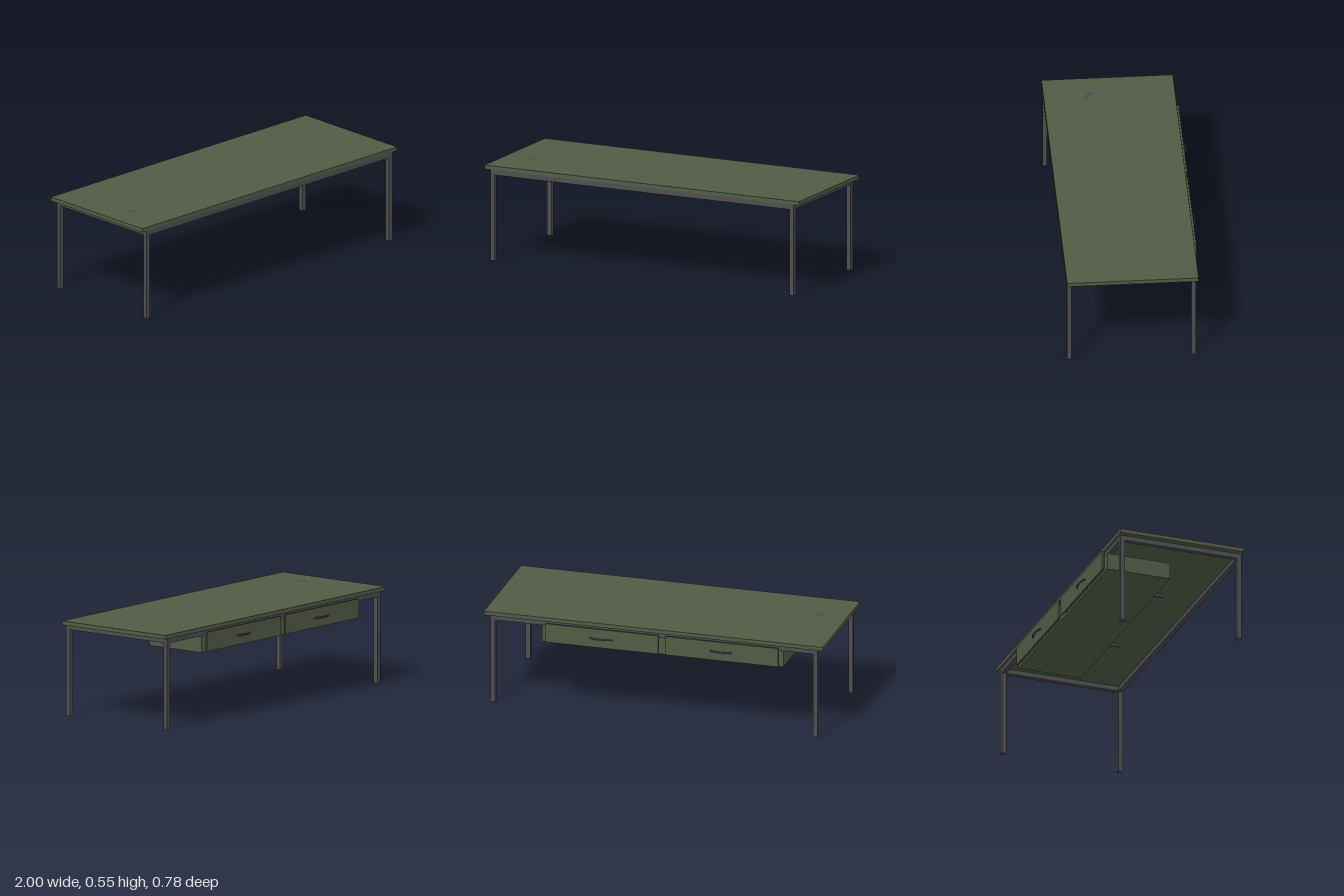
import * as THREE from 'three';

export function createModel() {
  const group = new THREE.Group();
  const green = new THREE.MeshStandardMaterial({ color: 0x525a45 });
  green.name = 'olive green';
  const grey = new THREE.MeshStandardMaterial({ color: 0x4d4d4f });
  grey.name = 'dark grey steel';

  const add = (name, geometry, material) => {
    const mesh = new THREE.Mesh(geometry, material);
    mesh.name = name;
    group.add(mesh);
    return mesh;
  };
  // Box given by its limits on each axis
  const box = (name, material, [x0, x1], [y0, y1], [z0, z1]) => {
    const mesh = add(name, new THREE.BoxGeometry(x1 - x0, y1 - y0, z1 - z0), material);
    mesh.position.set((x0 + x1) / 2, (y0 + y1) / 2, (z0 + z1) / 2);
    return mesh;
  };

  // Tabletop
  box('tabletop', green, [-1, 1], [0.527, 0.55], [-0.357, 0.389]);

  // Steel frame: four legs joined by rails
  const t = 0.027, X = 0.965, zBack = -0.345, zFront = 0.388;
  const railY = [0.498, 0.527];
  for (const x of [-X, X - t]) {
    for (const z of [zBack, zFront - t]) box('leg', grey, [x, x + t], [0, 0.498], [z, z + t]);
    box('sideRail', grey, [x, x + t], railY, [zBack, zFront]);
  }
  for (const z of [zBack, zFront - t]) box('longRail', grey, [-X + t, X - t], railY, [z, z + t]);

  // Drawer case hung below the top
  box('drawerCase', green, [-0.765, 0.66], [0.402, 0.499], [-0.349, 0.029]);
  box('casePanel', grey, [-0.16, 0.13], [0.403, 0.497], [0.028, 0.0305]);

  // Drawers with bow handles on the back, and rods on the far side of the case
  for (const [x0, x1] of [[-0.74, -0.075], [-0.033, 0.632]]) {
    const mid = (x0 + x1) / 2 + 0.004;
    box('drawerBody', green, [x0 + 0.02, x1 - 0.02], [0.418, 0.51], [-0.362, -0.34]);
    box('drawerFront', green, [x0, x1], [0.408, 0.519], [-0.371, -0.361]);

    const bow = new THREE.CatmullRomCurve3([
      [-0.066, -0.368], [-0.045, -0.379], [-0.02, -0.384], [0.02, -0.384], [0.045, -0.379], [0.066, -0.368],
    ].map(([x, z]) => new THREE.Vector3(mid + x, 0.463, z)));
    add('handle', new THREE.TubeGeometry(bow, 20, 0.005, 8), grey);

    const rod = add('rod', new THREE.CylinderGeometry(0.0105, 0.0105, 0.1, 12), grey);
    rod.rotation.x = Math.PI / 2;
    rod.position.set(mid + 0.004, 0.468, 0.077);
  }

  // Small worn patch on the tabletop
  const patch = new THREE.Shape([
    [-0.85, -0.09], [-0.82, -0.125], [-0.785, -0.14], [-0.79, -0.165], [-0.825, -0.15], [-0.87, -0.15], [-0.868, -0.12],
  ].map(([x, y]) => new THREE.Vector2(x, y)));
  const worn = add('wornPatch', new THREE.ShapeGeometry(patch), grey);
  worn.rotation.x = -Math.PI / 2;
  worn.position.y = 0.551;

  return group;
}
